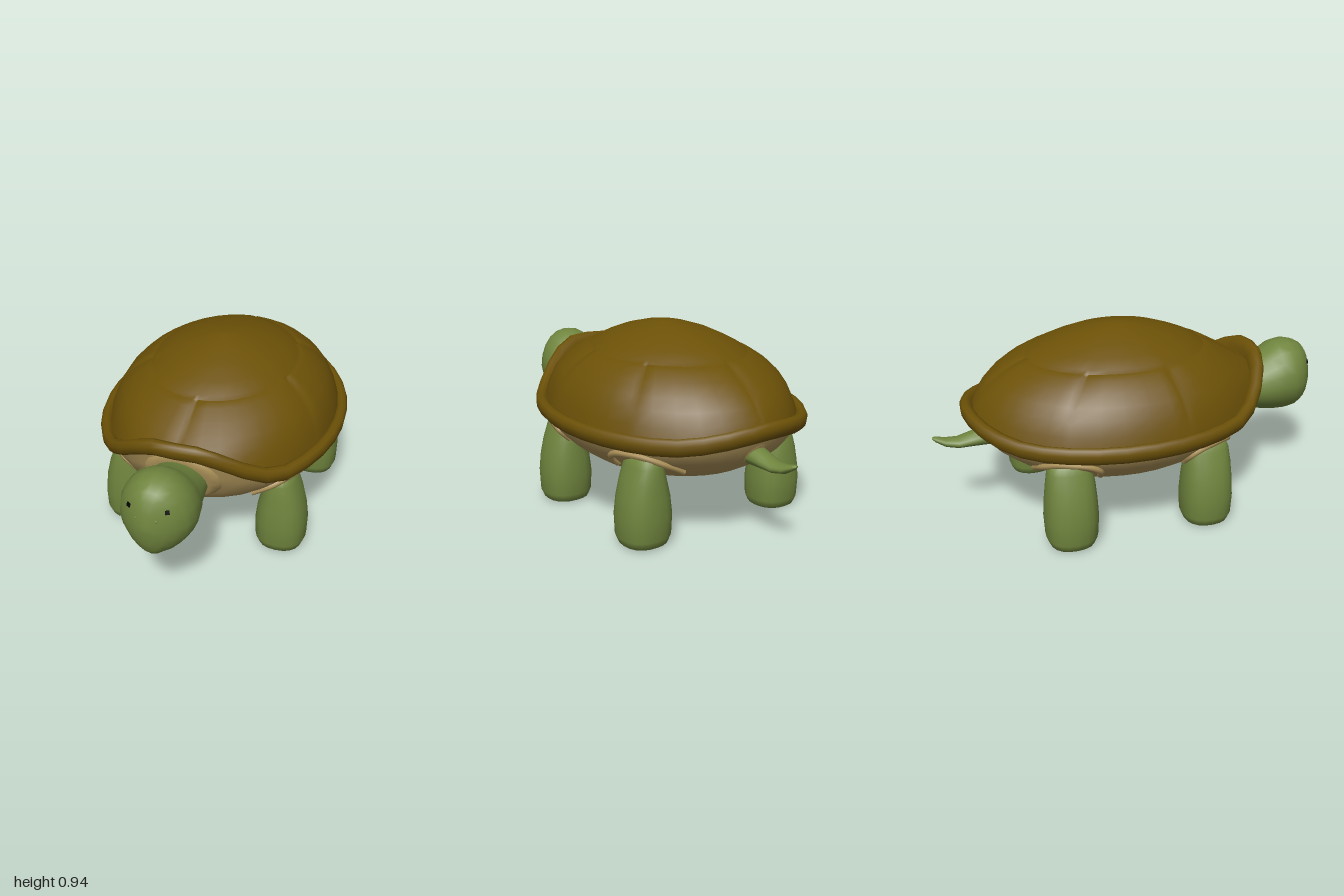
import * as THREE from 'three';

const mat = (name, color) => Object.assign(new THREE.MeshStandardMaterial({ color }), { name });

// Skin a stack of closed rings; rings run counter-clockwise about the direction of travel.
function loft(rings, capStart = true, capEnd = true) {
  const n = rings[0].length, pos = [], idx = [];
  rings.forEach(r => r.forEach(p => pos.push(...p)));
  for (let i = 0; i < rings.length - 1; i++) {
    for (let j = 0; j < n; j++) {
      const a = i * n + j, b = i * n + (j + 1) % n, c = a + n, d = b + n;
      idx.push(a, b, d, a, d, c);
    }
  }
  const cap = (i, flip) => {
    const k = pos.length / 3;
    pos.push(...[0, 1, 2].map(q => rings[i].reduce((s, p) => s + p[q], 0) / n));
    for (let j = 0; j < n; j++) {
      const a = i * n + j, b = i * n + (j + 1) % n;
      if (flip) idx.push(k, b, a); else idx.push(k, a, b);
    }
  };
  if (capStart) cap(0, true);
  if (capEnd) cap(rings.length - 1, false);
  const g = new THREE.BufferGeometry();
  g.setAttribute('position', new THREE.Float32BufferAttribute(pos, 3));
  g.setIndex(idx);
  g.computeVertexNormals();
  return g;
}

const circle = n => Array.from({ length: n }, (_, i) => i / n * Math.PI * 2);

// How far the shell edge rises above its side height (angle 0 is the front)
function lift(t) {
  const a = Math.abs(Math.atan2(Math.sin(t), Math.cos(t)));
  return 0.195 * (1 - THREE.MathUtils.smoothstep(a, 0.1, 0.9))
    + 0.055 * THREE.MathUtils.smoothstep(a, 2.3, Math.PI);
}
const flatRing = (angles, rx, rz, cz, height) =>
  angles.map(t => [rx * Math.sin(t), height(t), cz + rz * Math.cos(t)]);

// Upright sections along z, each given as [z, bottom, top, half width]
const along = (rows, n, keel = 0) => rows.map(([z, lo, hi, rx]) => {
  const cy = lo + (hi - lo) * 0.47;
  return circle(n).map(a => {
    const s = Math.sin(a);
    return [rx * Math.cos(a) * (s < 0 ? 1 - keel * s * s : 1), cy + s * (s > 0 ? hi - cy : cy - lo), z];
  });
});
// Lean upright sections forward or back with height
const lean = (rings, y0, k) => rings.map(r => r.map(([x, y, z]) => [x, y, z + (y - y0) * k]));

export function createModel() {
  const shellMat = mat('shell brown', 0x6c5107);
  const bellyMat = mat('belly tan', 0xaa9058);
  const skinMat = mat('skin green', 0x70853e);
  const eyeMat = mat('eye black', 0x040404);
  const model = new THREE.Group();
  const add = (name, geo, material, parent = model) => {
    const m = new THREE.Mesh(geo, material);
    m.name = name;
    parent.add(m);
    return m;
  };

  // Domed shell: extra angles around each seam carve the radial grooves
  const seams = [0, 1.27, 2.13, Math.PI, 2 * Math.PI - 2.13, 2 * Math.PI - 1.27];
  const near = (t, w) => seams.some(s => Math.abs(Math.atan2(Math.sin(t - s), Math.cos(t - s))) < w);
  const domeAngles = circle(36).filter(t => !near(t, 0.05))
    .concat(seams.flatMap(s => [s - 0.04, s, s + 0.04])).sort((a, b) => a - b);
  // [fraction of radius, height, share of edge lift, groove depth]
  const domeRows = [
    [1, 0.53, 0.7, 0], [0.975, 0.59, 0.45, 0.004], [0.93, 0.652, 0.22, 0.016], [0.87, 0.706, 0.08, 0.018],
    [0.78, 0.758, 0, 0.018], [0.69, 0.794, 0, 0.018], [0.635, 0.81, 0, 0.014], [0.62, 0.806, 0, 0],
    [0.6, 0.823, 0, 0], [0.5, 0.855, 0, 0], [0.36, 0.892, 0, 0], [0.2, 0.921, 0, 0], [0.08, 0.936, 0, 0], [0.01, 0.94, 0, 0],
  ];
  add('shellDome', loft(domeRows.map(([r, y, w, d]) =>
    flatRing(domeAngles, 0.565 * r, 0.715 * r, -0.07 - 0.015 * r,
      t => y + w * lift(t) - (near(t, 0.01) ? d : 0))), false), shellMat);

  // Rolled rim around the shell, raised into a lip over the neck
  const rimRows = [[-0.11, 0.49], [-0.06, 0.472], [-0.025, 0.472], [-0.004, 0.495],
    [0, 0.525], [-0.01, 0.548], [-0.03, 0.553], [-0.052, 0.543], [-0.07, 0.515], [-0.08, 0.47]];
  add('shellRim', loft(rimRows.map(([dr, y]) =>
    flatRing(circle(36), 0.61 + dr, 0.77 + dr, -0.085, t => y + lift(t))), false, false), shellMat);

  // Belly bowl under the shell
  const bellyRows = [[0.02, 0.225, 0], [0.3, 0.231, 0], [0.5, 0.255, 0], [0.68, 0.3, 0],
    [0.82, 0.355, 0], [0.92, 0.41, 0.15], [0.975, 0.455, 0.55], [1, 0.5, 1]];
  add('belly', loft(bellyRows.map(([s, y, w]) =>
    flatRing(circle(36), 0.57 * s, 0.71 * s, -0.085, t => y + w * lift(t))), true, false), bellyMat);

  // Skin fold around the neck, leaning forward under the lip
  add('neckFold', loft(lean(along([[0.4, 0.33, 0.68, 0.27], [0.5, 0.36, 0.67, 0.23],
    [0.575, 0.385, 0.655, 0.178], [0.6, 0.398, 0.642, 0.145]], 20), 0.52, 0.3)), bellyMat);

  // Head and neck
  const head = new THREE.Group();
  head.name = 'head';
  model.add(head);
  add('skull', loft(along([
    [0.5, 0.42, 0.6, 0.12], [0.6, 0.402, 0.625, 0.135], [0.69, 0.366, 0.652, 0.145], [0.75, 0.354, 0.695, 0.163],
    [0.8, 0.347, 0.726, 0.174], [0.86, 0.345, 0.735, 0.174], [0.91, 0.351, 0.724, 0.155],
    [0.95, 0.368, 0.7, 0.118], [0.975, 0.4, 0.665, 0.083], [0.992, 0.45, 0.61, 0.048], [1, 0.51, 0.55, 0.015],
  ], 20, 0.22)), skinMat, head);
  for (const side of [-1, 1]) {
    const eye = add(side > 0 ? 'leftEye' : 'rightEye', new THREE.BoxGeometry(0.019, 0.018, 0.009), eyeMat, head);
    eye.position.set(side * 0.086, 0.62, 0.959);
    eye.lookAt(side * 0.586, 0.9, 1.759);
    const nostril = add(side > 0 ? 'leftNostril' : 'rightNostril', new THREE.SphereGeometry(0.008, 8, 6), skinMat, head);
    nostril.position.set(side * 0.045, 0.58, 0.983);
  }

  // Legs: rows of [height, centre x, half width x, half width z]
  const legRows = [[0.003, 0.4, 0.085, 0.085], [0.012, 0.4, 0.108, 0.108], [0.05, 0.4, 0.124, 0.123],
    [0.15, 0.4, 0.127, 0.129], [0.24, 0.4, 0.116, 0.124], [0.32, 0.4, 0.096, 0.117],
    [0.39, 0.395, 0.076, 0.108], [0.425, 0.39, 0.066, 0.095], [0.44, 0.38, 0.04, 0.06]];
  // Skin fold over each leg: [height, offset in z, belly radius at that height]
  const foldRows = [[0.36, -0.135, 0.83], [0.41, -0.12, 0.92], [0.44, -0.07, 0.958],
    [0.447, 0, 0.965], [0.44, 0.07, 0.958], [0.41, 0.12, 0.92], [0.36, 0.135, 0.83]];
  for (const side of [-1, 1]) {
    for (const [place, z] of [['front', 0.253], ['hind', -0.435]]) {
      const name = place + (side > 0 ? 'Left' : 'Right');
      add(name + 'Leg', loft(legRows.map(([y, cx, rx, rz]) => circle(20).map(t => {
        const round = v => Math.sign(v) * Math.abs(v) ** 0.85;
        return [side * cx + rx * round(Math.sin(t)), y, z + rz * round(Math.cos(t))];
      }))), skinMat);
      const fold = foldRows.map(([y, dz, s]) => new THREE.Vector3(
        side * 0.57 * s * Math.sqrt(1 - ((z + dz + 0.085) / (0.71 * s)) ** 2), y, z + dz));
      add(name + 'LegFold', new THREE.TubeGeometry(new THREE.CatmullRomCurve3(fold), 24, 0.016, 8), bellyMat);
    }
  }

  // Tail curling up to its tip, and the fold at its root
  add('tail', loft(along([[-1, 0.449, 0.459, 0.008], [-0.985, 0.434, 0.461, 0.02], [-0.94, 0.405, 0.447, 0.034],
    [-0.88, 0.391, 0.441, 0.045], [-0.82, 0.391, 0.457, 0.052], [-0.74, 0.388, 0.485, 0.058],
    [-0.62, 0.388, 0.5, 0.06]], 14)), skinMat);
  add('tailFold', loft(lean(along([[-0.75, 0.388, 0.49, 0.056], [-0.735, 0.378, 0.5, 0.07],
    [-0.6, 0.35, 0.52, 0.12]], 16), 0.44, -0.6)), bellyMat);

  return model;
}
